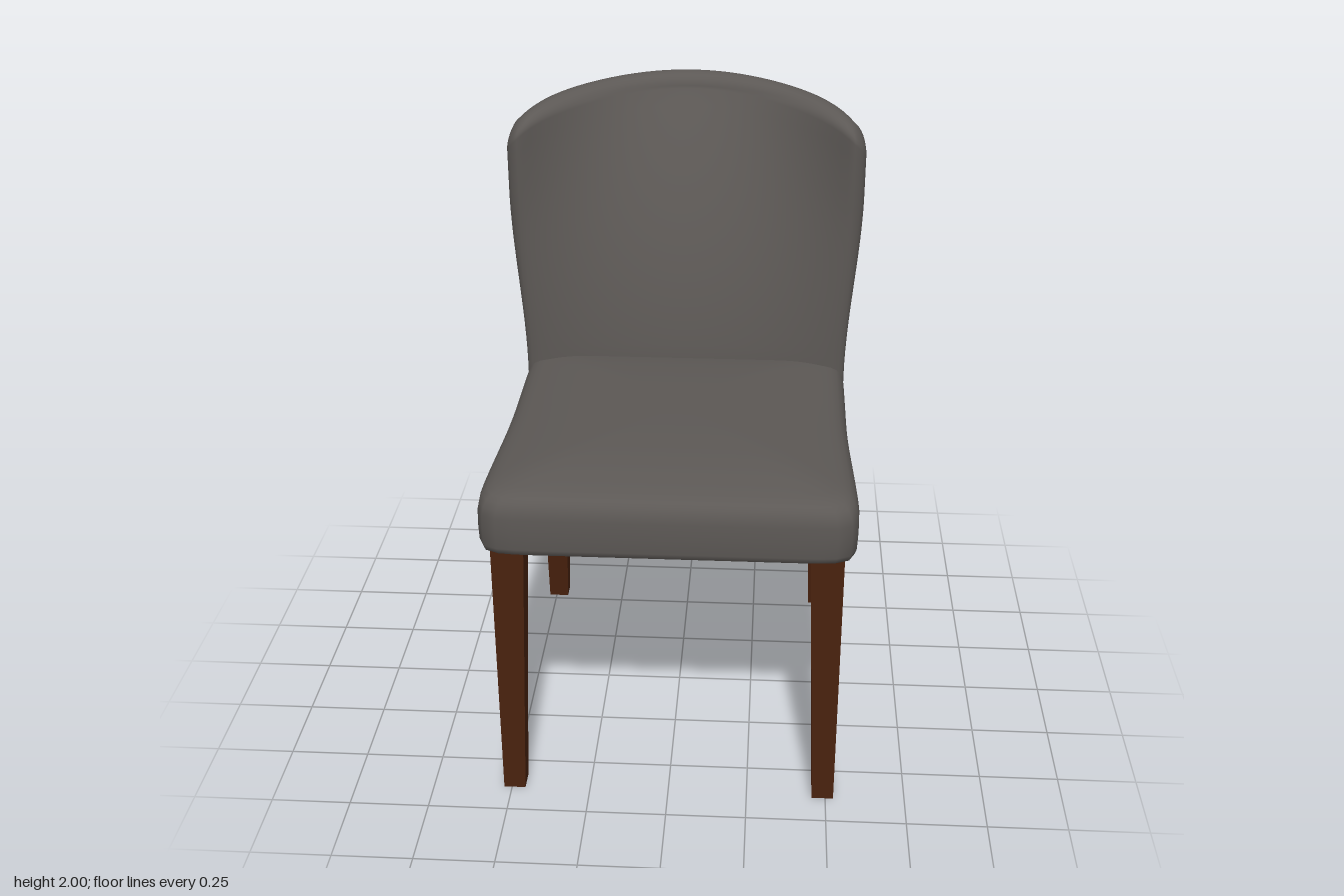
import * as THREE from 'three';

const { lerp, smoothstep, clamp } = THREE.MathUtils;
const SEGMENTS = 112;

// Unit rounded square; a higher power gives tighter corners.
function roundedLoop(power) {
  return Array.from({ length: SEGMENTS }, (_, i) => {
    const t = (i / SEGMENTS) * Math.PI * 2;
    const c = Math.cos(t), s = Math.sin(t);
    const r = (Math.abs(c) ** power + Math.abs(s) ** power) ** (-1 / power);
    return [c * r, s * r];
  });
}

// Skin a stack of closed rings, listed from bottom to top.
function loft(rings) {
  const index = [];
  for (let j = 0; j < rings.length - 1; j++) {
    for (let i = 0; i < SEGMENTS; i++) {
      const a = j * SEGMENTS + i, b = j * SEGMENTS + (i + 1) % SEGMENTS;
      const c = a + SEGMENTS, d = b + SEGMENTS;
      index.push(a, c, b, b, c, d);
    }
  }
  const geometry = new THREE.BufferGeometry();
  geometry.setAttribute('position', new THREE.Float32BufferAttribute(rings.flat(2), 3));
  geometry.setIndex(index);
  geometry.computeVertexNormals();
  return geometry;
}

// Crowned cushion, slightly wider towards the front.
function seatGeometry() {
  const loop = roundedLoop(16);
  // [height, edge inset, scale]
  const layers = [
    [0.885, 0.03, 0], [0.885, 0.03, 0.97], [0.885, 0.02, 1], [0.892, 0.007, 1],
    [0.91, 0.002, 1], [0.96, 0, 1], [1.01, 0.001, 1], [1.035, 0.006, 1],
    [1.055, 0.015, 1], [1.067, 0.028, 1],
  ];
  for (const s of [0.97, 0.93, 0.87, 0.8, 0.7, 0.6, 0.45, 0.3, 0.15, 0]) {
    layers.push([1.072 + 0.047 * (1 - s ** 3.5), 0.03, s]);
  }
  return loft(layers.map(([y, inset, s]) => loop.map(([px, pz]) => {
    const z = 0.115 + pz * s * (0.583 - inset);
    const halfWidth = 0.543 + 0.024 * smoothstep(z, 0, 0.66) - inset;
    return [px * s * halfWidth, y, z];
  })));
}

// Backrest: flat at the seat, bending into a wrapped, leaning arc at the top.
function backGeometry() {
  const base = 0.887, roll = 0.05;
  // [height fraction, roll-over angle, scale]
  const layers = [[0, 0, 0], [0, 0, 0.96], [0.006, 0, 0.985], [0.02, 0, 1]];
  for (let i = 1; i <= 22; i++) layers.push([lerp(0.02, 1, i / 22), 0, 1]);
  for (let i = 1; i <= 8; i++) layers.push([1, (i / 8) * Math.PI / 2, 1]);

  return loft(layers.map(([v, angle, s]) => {
    const loop = roundedLoop(lerp(9, 4.5, smoothstep(v, 0.1, 0.8)));
    const width = 0.542 + 0.041 * smoothstep(v, 0.15, 0.85);
    return loop.map(([px, pz]) => {
      const x = px * s * width * (1 - 0.06 * (1 - Math.cos(angle)));
      const side = Math.abs(x) / 0.58;
      const top = 2 - 0.065 * side ** 2 - 0.07 * side ** 10 - roll;
      const y = lerp(base, top, v) + roll * Math.sin(angle);
      const g = clamp((y - 1.1) / 0.85, 0, 1);
      const centreHalf = 0.1 - 0.05 * g;
      const centreZ = -0.49 - 0.21 * g * g + centreHalf;
      const wing = Math.min(1, (x / 0.54) ** 2);
      const z = lerp(centreZ, -0.39 + 0.025 * g, wing);
      const half = lerp(centreHalf, 0.1, wing);
      return [x, y, z + pz * s * half * Math.cos(angle)];
    });
  }));
}

// Square tapered leg; z ranges are [min, max] at the top and the foot.
function legGeometry(side, topZ, footZ) {
  const geometry = new THREE.BoxGeometry(1, 1, 1);
  const p = geometry.attributes.position;
  for (let i = 0; i < p.count; i++) {
    const up = p.getY(i) > 0;
    const outer = p.getX(i) * side > 0;
    const x = outer ? 0.525 : (up ? 0.425 : 0.457);
    const z = (up ? topZ : footZ)[p.getZ(i) > 0 ? 1 : 0];
    p.setXYZ(i, side * x, up ? 0.9 : 0, z);
  }
  geometry.computeVertexNormals();
  return geometry;
}

export function createModel() {
  const model = new THREE.Group();
  model.name = 'diningChair';

  const fabric = new THREE.MeshStandardMaterial({ color: 0x5c5855 });
  fabric.name = 'grey upholstery';
  const wood = new THREE.MeshStandardMaterial({ color: 0x4a220e });
  wood.name = 'dark brown wood';

  const add = (name, geometry, material) => {
    const mesh = new THREE.Mesh(geometry, material);
    mesh.name = name;
    model.add(mesh);
  };

  add('seat', seatGeometry(), fabric);
  add('backrest', backGeometry(), fabric);
  for (const [label, side] of [['Left', 1], ['Right', -1]]) {
    add(`front${label}Leg`, legGeometry(side, [0.565, 0.662], [0.575, 0.64]), wood);
    add(`rear${label}Leg`, legGeometry(side, [-0.478, -0.38], [-0.585, -0.522]), wood);
  }
  return model;
}
